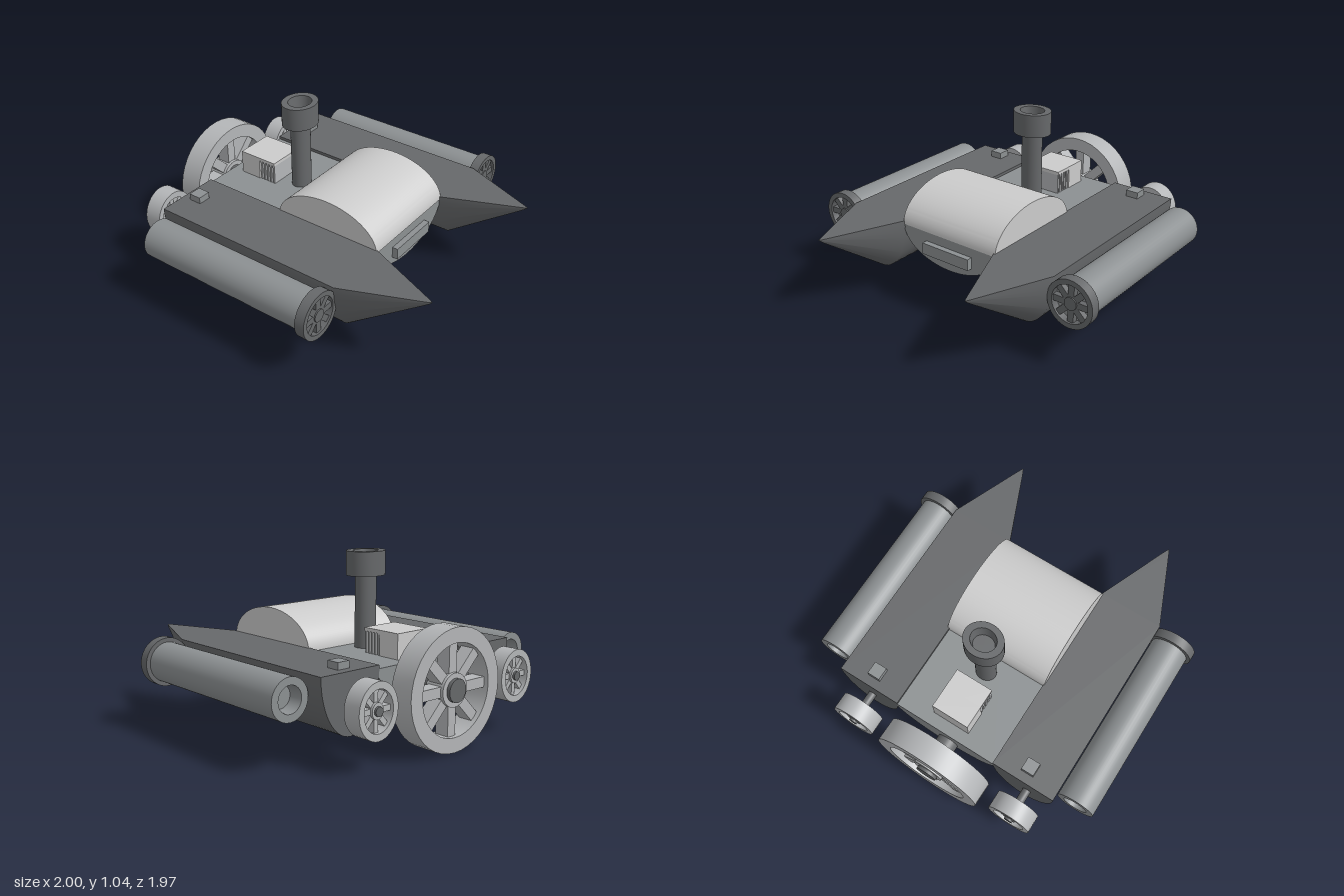
import * as THREE from 'three';
import { toCreasedNormals } from 'three/addons/utils/BufferGeometryUtils.js';

const mat = (color) => new THREE.MeshStandardMaterial({ color });
const light = mat(0xcccccc), pale = mat(0xb4b6b8), mid = mat(0x8c9092), dark = mat(0x66686a), black = mat(0x4c4e50);

export function createModel() {
  const model = new THREE.Group();

  const add = (name, geo, material, x = 0, y = 0, z = 0, parent = model) => {
    const mesh = new THREE.Mesh(geo, material);
    mesh.name = name;
    mesh.position.set(x, y, z);
    parent.add(mesh);
    return mesh;
  };
  const box = (w, h, d) => new THREE.BoxGeometry(w, h, d);
  const rod = (r, length) => new THREE.CylinderGeometry(r, r, length, 32).rotateX(Math.PI / 2);
  // Closed lathe profile of [radius, height] pairs
  const lathe = (points) => toCreasedNormals(
    new THREE.LatheGeometry(points.map(([r, h]) => new THREE.Vector2(r, h)), 40), 0.6);
  // Half ellipse extruded along z; the curve hangs down or arches up
  const halfEllipse = (rx, ry, depth, up) => {
    const shape = new THREE.Shape();
    shape.absellipse(0, 0, rx, ry, up ? 0 : Math.PI, up ? Math.PI : 2 * Math.PI, false);
    shape.closePath();
    const geo = new THREE.ExtrudeGeometry(shape, { depth, bevelEnabled: false, curveSegments: 32 });
    return toCreasedNormals(geo, 0.6);
  };

  // Pontoon: half-ellipse sections lofted from a flat stern to a raised point
  const hullGeometry = (rx, ry) => {
    const sections = [[-0.745, 1], [0.5, 1], [0.94, 0.1], [0.965, 0.045], [0.98, 0.004]];
    const n = 28, pos = [], index = [];
    for (const [z, s] of sections) {
      for (let i = 0; i <= n; i++) {
        const a = Math.PI + (i / n) * Math.PI;
        pos.push(Math.cos(a) * rx * s, Math.sin(a) * ry * s, z);
      }
    }
    const row = n + 1;
    for (let k = 0; k < sections.length - 1; k++) {
      for (let i = 0; i < row; i++) {
        const a = k * row + i, b = k * row + (i + 1) % row;
        index.push(a, b, b + row, a, b + row, a + row);
      }
    }
    const last = (sections.length - 1) * row;
    for (let i = 1; i < n; i++) {
      index.push(0, i + 1, i);
      index.push(last, last + i, last + i + 1);
    }
    const geo = new THREE.BufferGeometry();
    geo.setAttribute('position', new THREE.Float32BufferAttribute(pos, 3));
    geo.setIndex(index);
    return toCreasedNormals(geo, 0.45);
  };
  add('leftPontoon', hullGeometry(0.203, 0.345), dark, 0.535, 0.5, 0);
  add('rightPontoon', hullGeometry(0.203, 0.357), dark, -0.538, 0.5, 0);

  // Central hull, nose plate and domed canopy
  add('centreHull', halfEllipse(0.345, 0.2, 1.24, false), mid, 0, 0.48, -0.745);
  add('nosePlate', box(0.34, 0.07, 0.06), mid, 0, 0.385, 0.5);
  const canopy = halfEllipse(0.345, 0.21, 0.685, true).rotateY(Math.PI / 2);
  add('canopy', canopy, light, -0.3425, 0.48, 0.155);

  // Chimney with a wide hollow cap, slightly oval
  const chimney = new THREE.Group();
  chimney.name = 'chimney';
  chimney.position.set(0, 0, -0.293);
  chimney.scale.z = 0.86;
  model.add(chimney);
  add('chimneyPipe', new THREE.CylinderGeometry(0.066, 0.066, 0.46, 40), dark, 0, 0.69, 0, chimney);
  add('chimneyCap', lathe([[0, 0.9], [0.12, 0.9], [0.12, 1.04], [0.078, 1.04], [0.065, 0.96], [0, 0.96]]),
    dark, 0, 0, 0, chimney);

  // Engine housing with louvre plates at its front half
  const engine = new THREE.Group();
  engine.name = 'engine';
  model.add(engine);
  add('engineBlock', box(0.24, 0.145, 0.14), light, 0, 0.5525, -0.6, engine);
  add('engineLid', box(0.24, 0.02, 0.26), light, 0, 0.615, -0.54, engine);
  add('engineCore', box(0.16, 0.13, 0.1), mid, 0, 0.54, -0.48, engine);
  for (let i = 0; i < 5; i++) {
    add('enginePlate', box(0.23, 0.13, 0.014), pale, 0, 0.54, -0.42 - i * 0.024, engine);
  }

  // Spoked wheel facing z: rim, eight spokes and hub
  const wheel = (name, r, inner, hub, depth, spokeW, material) => {
    const group = new THREE.Group();
    group.name = name;
    const h = depth / 2;
    const rim = lathe([[inner, -h], [r, -h], [r, h], [inner, h], [inner, -h]]).rotateX(Math.PI / 2);
    add('rim', rim, material, 0, 0, 0, group);
    const length = inner - hub * 0.5 + 0.01;
    for (let i = 0; i < 8; i++) {
      const spoke = box(spokeW, length, depth * 0.6).translate(0, hub * 0.5 + length / 2, 0);
      add('spoke', spoke, material, 0, 0, 0, group).rotation.z = i * Math.PI / 4;
    }
    add('hub', rod(hub, depth * 0.85), material, 0, 0, 0, group);
    model.add(group);
    return group;
  };

  // Large stern wheel on its axle
  const stern = wheel('sternWheel', 0.345, 0.26, 0.095, 0.145, 0.06, pale);
  stern.position.set(-0.018, 0.345, -0.903);
  stern.rotation.y = -0.014;
  add('sternAxle', rod(0.066, 0.25), dark, -0.018, 0.345, -0.86);

  // Small stern wheels, one behind each pontoon
  for (const x of [0.535, -0.57]) {
    const small = wheel('smallSternWheel', 0.155, 0.115, 0.045, 0.11, 0.032, pale);
    small.position.set(x, 0.33, -0.895);
    small.scale.x = 0.88;
    add('smallAxle', rod(0.026, 0.24), dark, x, 0.33, -0.835);
  }

  // Side tubes with a recessed rear nozzle and a fan at the front
  for (const [side, shift] of [[1, 0], [-1, -0.03]]) {
    const x = side * 0.857, y = 0.388;
    const tube = lathe([[0, -0.57], [0.065, -0.57], [0.075, -0.65], [0.118, -0.65], [0.118, 0.485], [0, 0.485]]);
    add('sideTube', tube.rotateX(Math.PI / 2), mid, x, y, shift);
    wheel('tubeFan', 0.143, 0.113, 0.038, 0.06, 0.038, dark).position.set(x, y, 0.5 + shift);
    // Deck fitting on the pontoon
    add('deckBlock', box(0.08, 0.06, 0.08), mid, side * 0.535, 0.51, -0.65);
  }

  // Belly scoop: wedge sloping down towards the stern
  const wedge = new THREE.Shape();
  wedge.moveTo(0.03, 0.3);
  wedge.lineTo(-0.33, 0.3);
  wedge.lineTo(-0.33, 0.12);
  wedge.closePath();
  const scoop = new THREE.ExtrudeGeometry(wedge, { depth: 0.34, bevelEnabled: false });
  add('bellyScoop', scoop.rotateY(-Math.PI / 2), dark, 0.145, 0, 0);

  // Belly grating behind the scoop
  const grate = new THREE.Group();
  grate.name = 'bellyGrate';
  model.add(grate);
  add('gratePanel', box(0.32, 0.04, 0.28), black, -0.02, 0.293, -0.5, grate);
  for (let i = 0; i < 9; i++) {
    add('grateBar', box(0.012, 0.012, 0.28), mid, -0.172 + i * 0.038, 0.268, -0.5, grate);
    add('grateBar', box(0.32, 0.012, 0.012), mid, -0.02, 0.27, -0.632 + i * 0.033, grate);
  }

  return model;
}
